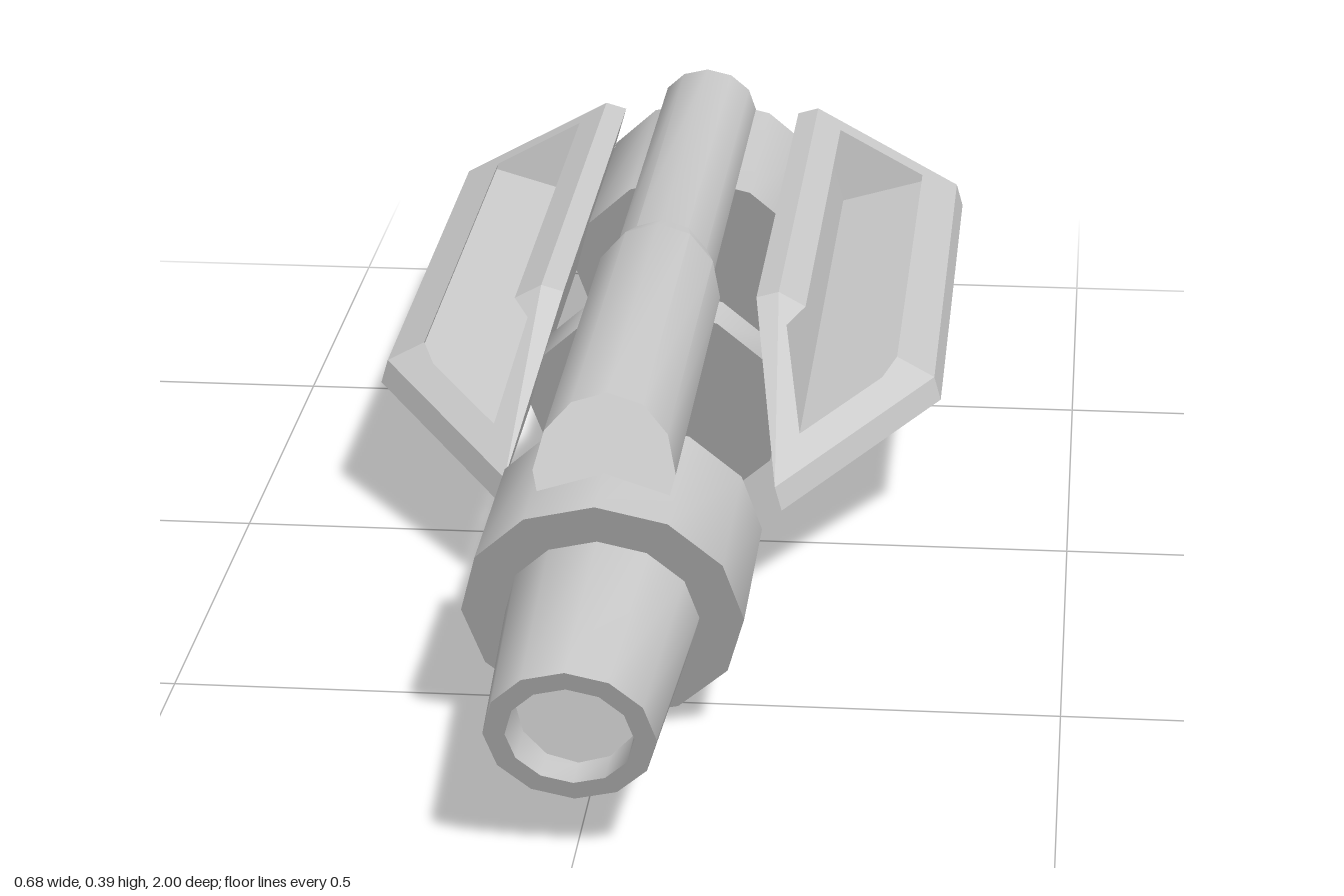
import * as THREE from 'three';
import { toCreasedNormals } from 'three/addons/utils/BufferGeometryUtils.js';

const material = new THREE.MeshStandardMaterial({ color: 0xcccccc });

// Skin rings of points running front to rear; the optional cap closes the last ring.
function loft(name, rows, crease, { mirror = false, cap = [] } = {}) {
  const pos = [];
  const tri = (a, b, c) => {
    const area = b.clone().sub(a).cross(c.clone().sub(a)).length();
    if (area < 1e-7) return;
    for (const p of mirror ? [a, c, b] : [a, b, c]) pos.push(mirror ? -p.x : p.x, p.y, p.z);
  };
  for (let i = 0; i < rows.length - 1; i++) {
    const n = rows[i].length;
    for (let j = 0; j < n; j++) {
      const k = (j + 1) % n;
      tri(rows[i][j], rows[i + 1][j], rows[i][k]);
      tri(rows[i][k], rows[i + 1][j], rows[i + 1][k]);
    }
  }
  const last = rows[rows.length - 1];
  for (let i = 1; i < cap.length - 1; i++) tri(last[cap[0]], last[cap[i + 1]], last[cap[i]]);
  const geo = new THREE.BufferGeometry();
  geo.setAttribute('position', new THREE.Float32BufferAttribute(pos, 3));
  const mesh = new THREE.Mesh(toCreasedNormals(geo, crease), material);
  mesh.name = name;
  return mesh;
}

// Twelve-sided rod along z. Stations: [z, radius, slant of the cut, centre height].
function rod(name, y, stations) {
  const rows = stations.map(([z, r, slant = 0.5, yc = y]) =>
    Array.from({ length: 12 }, (_, i) => {
      const a = (i / 12) * Math.PI * 2;
      const dy = Math.sin(a) * r;
      return new THREE.Vector3(Math.cos(a) * r, yc + dy, z + slant * dy);
    }));
  return loft(name, rows, 0.6);
}

// Wing: an L-shaped prism with a sloping outer face, a tapered nose and a deep recess.
function wing(name, mirror) {
  const W = 0.182, lip = 0.03, u0 = 0.032, v0 = 0.058, uMax = 0.145, vMax = 0.155, k = 0.98;
  const slopeV = (s, u) => lip + (W * s - u) * k;
  const slopeU = (s, v) => W * s - (v - lip) / k;
  const tip = (lip + k * u0 + v0 - 2 * lip) / (k * W);

  const recess = (s) => {
    if (s === 0) return Array(5).fill([0, lip]);
    const u = Math.min(uMax, slopeU(s, v0));
    const v = Math.min(vMax, slopeV(s, u0));
    return [[u, slopeV(s, u)], [u, v0], [u0, v0], [u0, v], [slopeU(s, v), v]];
  };
  const row = (s, z, closed) => {
    let r = recess(s);
    if (closed) r = [r[0], r[0], r[0], r[4], r[4]];
    const top = slopeV(s, 0.028 * s);
    const ring = [[0, 0], [W * s, 0], [W * s, lip], ...r, [0.028 * s, top], [0, top]];
    return ring.map(([u, v]) => new THREE.Vector3(
      0.167 + 0.962 * u - 0.275 * v, 0.118 + 0.275 * u + 0.962 * v, z));
  };
  const rows = [0, tip, 0.85, 1].map((s) => row(s, 0.2 - 0.26 * s));
  rows.push(row(1, -0.8), row(1, -0.8, true), row(1, -0.84, true));
  return loft(name, rows, 0.1, { mirror, cap: [0, 1, 2, 8, 9] });
}

export function createModel() {
  const group = new THREE.Group();
  const axis = 0.155;

  // Hollow muzzle with a slanted rim, set into the front collar
  group.add(rod('muzzle', axis, [
    [0.87, 0, 0], [0.87, 0.067, 0], [0.955, 0.067], [0.955, 0.09], [0.61, 0.107], [0.61, 0],
  ]));
  group.add(rod('frontCollar', axis, [[0.625, 0], [0.625, 0.155], [0.355, 0.155], [0.355, 0]]));
  group.add(rod('middleRing', axis, [[-0.033, 0], [-0.033, 0.155], [-0.113, 0.155], [-0.113, 0]]));

  // Rear drum with a raised, bevelled end plate
  group.add(rod('rearDrum', axis, [
    [-0.553, 0], [-0.553, 0.155], [-0.913, 0.155], [-0.913, 0.125],
    [-0.945, 0.108, 0.5, 0.17], [-0.945, 0, 0.5, 0.17],
  ]));

  // Stepped upper tube joining the three drums
  group.add(rod('upperTube', 0.311, [
    [0.6, 0, -0.5], [0.6, 0.078, -0.5], [0, 0.078, -0.5],
    [-0.07, 0.063, -0.5], [-0.79, 0.063, 0.5], [-0.79, 0, 0.5],
  ]));

  group.add(wing('leftWing', false), wing('rightWing', true));
  return group;
}
